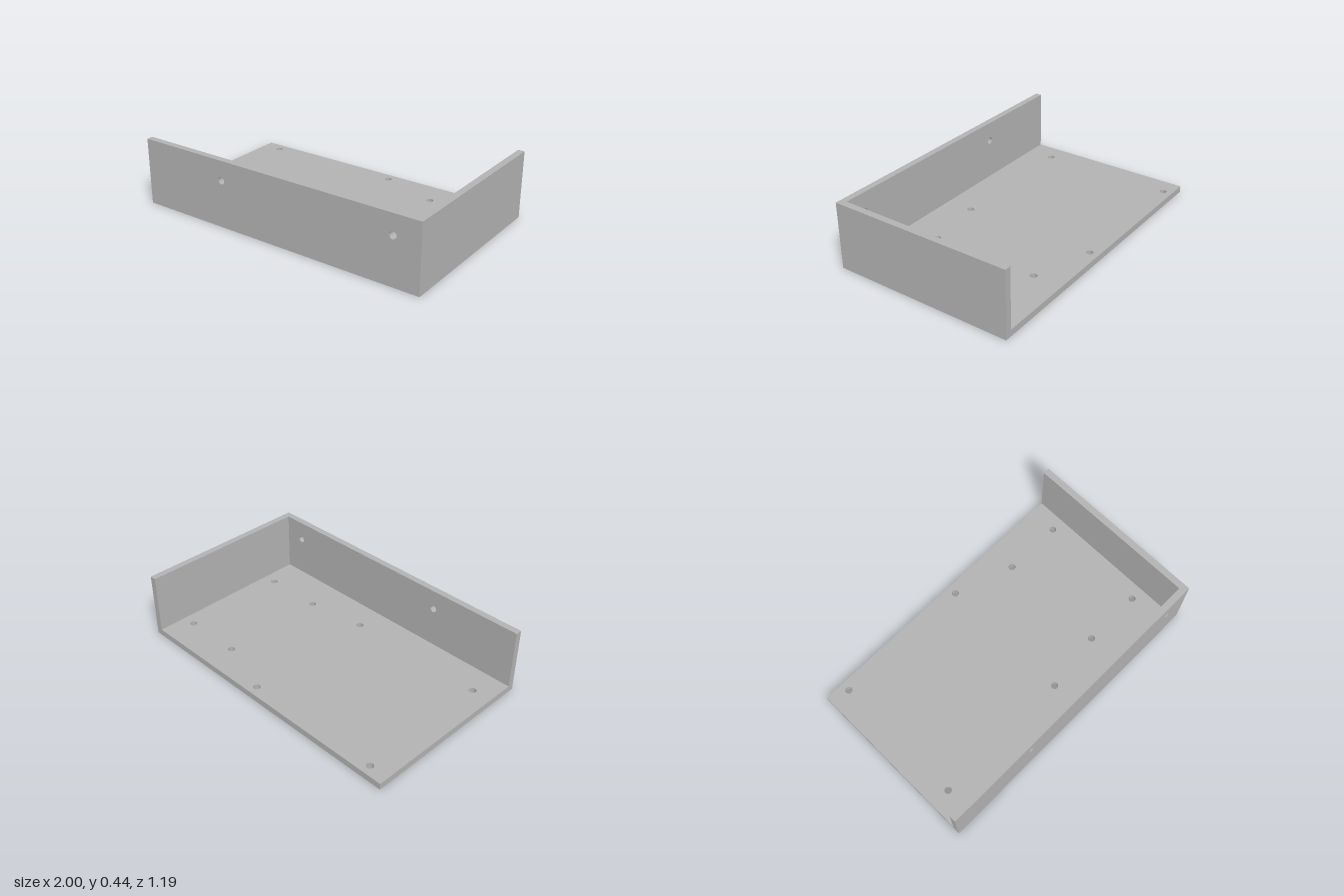
import * as THREE from 'three';

const W = 1, D = 0.597, H = 0.44, T = 0.043, HOLE_R = 0.023;

// Rectangular plate from (x0, y0) to (x1, y1), drilled with round holes
function drilledPlate(x0, y0, x1, y1, holes) {
  const shape = new THREE.Shape();
  shape.moveTo(x0, y0).lineTo(x1, y0).lineTo(x1, y1).lineTo(x0, y1).closePath();
  for (const [x, y] of holes) {
    shape.holes.push(new THREE.Path().absarc(x, y, HOLE_R, 0, Math.PI * 2, true));
  }
  return new THREE.ExtrudeGeometry(shape, { depth: T, bevelEnabled: false, curveSegments: 24 });
}

export function createModel() {
  const group = new THREE.Group();
  group.name = 'cornerTray';
  const grey = new THREE.MeshStandardMaterial({ color: 0xb2b2b2 });
  grey.name = 'plain grey';

  const add = (name, geometry) => {
    const mesh = new THREE.Mesh(geometry, grey);
    mesh.name = name;
    group.add(mesh);
  };

  // Floor with two rectangular mounting hole patterns, given as [x, z]
  const floorHoles = [];
  for (const x of [-0.868, 0.073]) for (const z of [-0.535, 0.37]) floorHoles.push([x, -z]);
  for (const x of [0.472, 0.865]) for (const z of [-0.403, 0.318]) floorHoles.push([x, -z]);
  add('floor', drilledPlate(-W, -D, W, D, floorHoles).rotateX(-Math.PI / 2));

  // Front wall with two holes
  add('frontWall', drilledPlate(-W, T, W, H, [[-0.383, 0.31], [0.825, 0.31]]).translate(0, 0, D - T));

  // Left side wall, butting against the front wall
  add('sideWall', new THREE.BoxGeometry(T, H - T, 2 * D - T).translate(W - T / 2, (H + T) / 2, -T / 2));

  return group;
}
